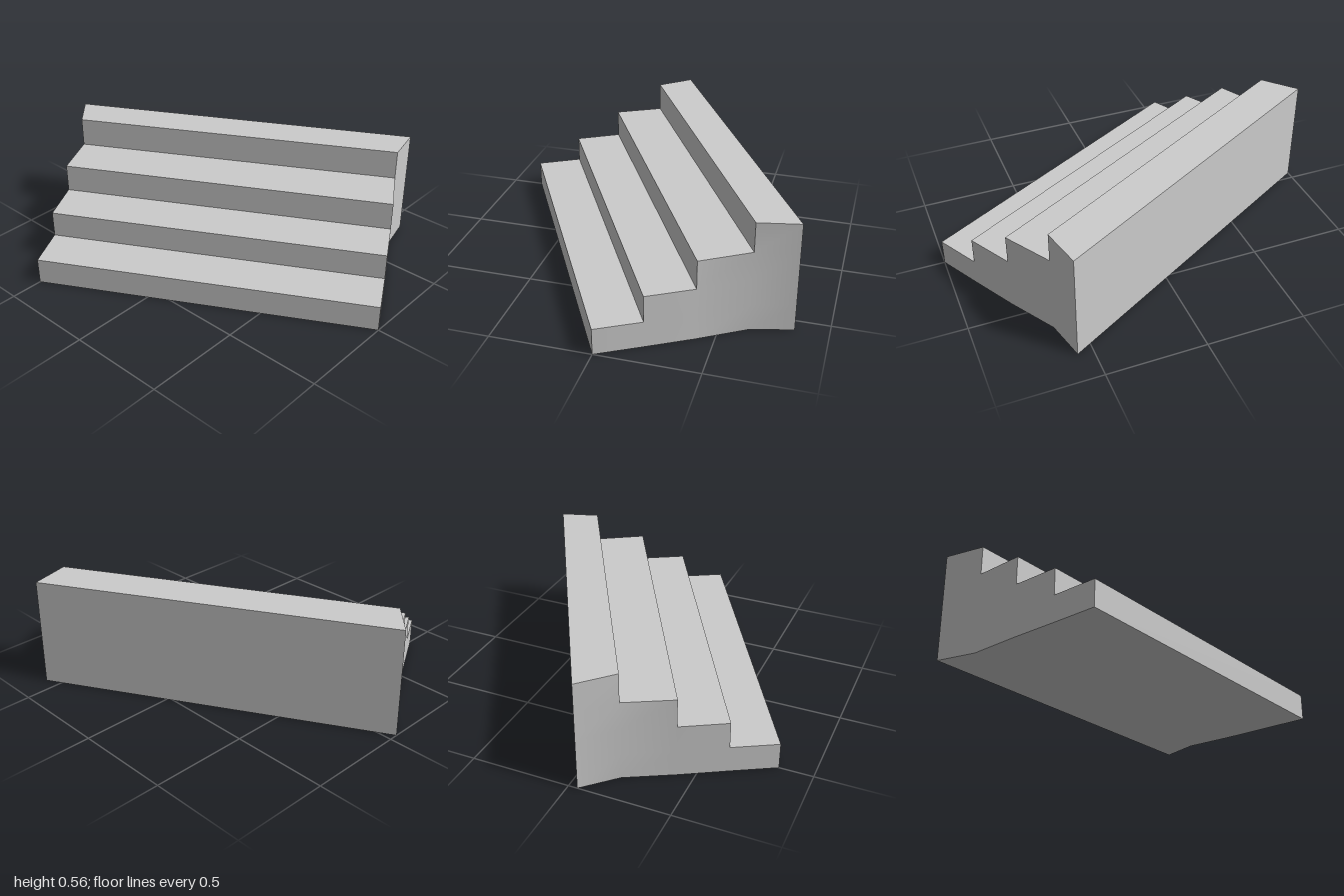
import * as THREE from 'three';
import { toCreasedNormals } from 'three/addons/utils/BufferGeometryUtils.js';

// Plan of the step edges [x, z], front to back, at each end of the flight
const LEFT_END = [[-0.5, 0.835], [-0.615, 0.63], [-0.735, 0.42], [-0.855, 0.195], [-1, 0.045]];
const RIGHT_END = [[1, 0], [0.885, -0.205], [0.765, -0.415], [0.625, -0.64], [0.575, -0.84]];
const LEVELS = [0, 0.135, 0.27, 0.415, 0.565];
const BACK_TOP = 0.56; // the top step falls slightly to the back
const STEPS = 4;

function quadSurface(quads) {
  const positions = [];
  for (const [a, b, c, d] of quads) positions.push(...a, ...b, ...c, ...a, ...c, ...d);
  const geometry = new THREE.BufferGeometry();
  geometry.setAttribute('position', new THREE.Float32BufferAttribute(positions, 3));
  return toCreasedNormals(geometry, THREE.MathUtils.degToRad(30));
}

export function createModel() {
  const group = new THREE.Group();
  group.name = 'steps';
  const material = new THREE.MeshStandardMaterial({ color: 0xcccccc });
  const height = (line, level) => (line === STEPS && level === STEPS ? BACK_TOP : LEVELS[level]);
  const left = (line, level) => [LEFT_END[line][0], height(line, level), LEFT_END[line][1]];
  const right = (line, level) => [RIGHT_END[line][0], height(line, level), RIGHT_END[line][1]];

  const treads = [], risers = [], sides = [], base = [], back = [];
  for (let i = 0; i < STEPS; i++) {
    const n = i + 1;
    treads.push([left(i, n), right(i, n), right(n, n), left(n, n)]);
    risers.push([left(i, i), right(i, i), right(i, n), left(i, n)]);
    base.push([left(n, 0), right(n, 0), right(i, 0), left(i, 0)]);
    back.push([right(STEPS, i), left(STEPS, i), left(STEPS, n), right(STEPS, n)]);
    // End walls under this tread, one cell per level
    for (let k = 0; k <= i; k++) {
      sides.push([right(i, k), right(n, k), right(n, k + 1), right(i, k + 1)]);
      sides.push([left(n, k), left(i, k), left(i, k + 1), left(n, k + 1)]);
    }
  }

  const parts = { treads, risers, endWalls: sides, base, backWall: back };
  for (const [name, quads] of Object.entries(parts)) {
    const mesh = new THREE.Mesh(quadSurface(quads), material);
    mesh.name = name;
    group.add(mesh);
  }
  return group;
}
